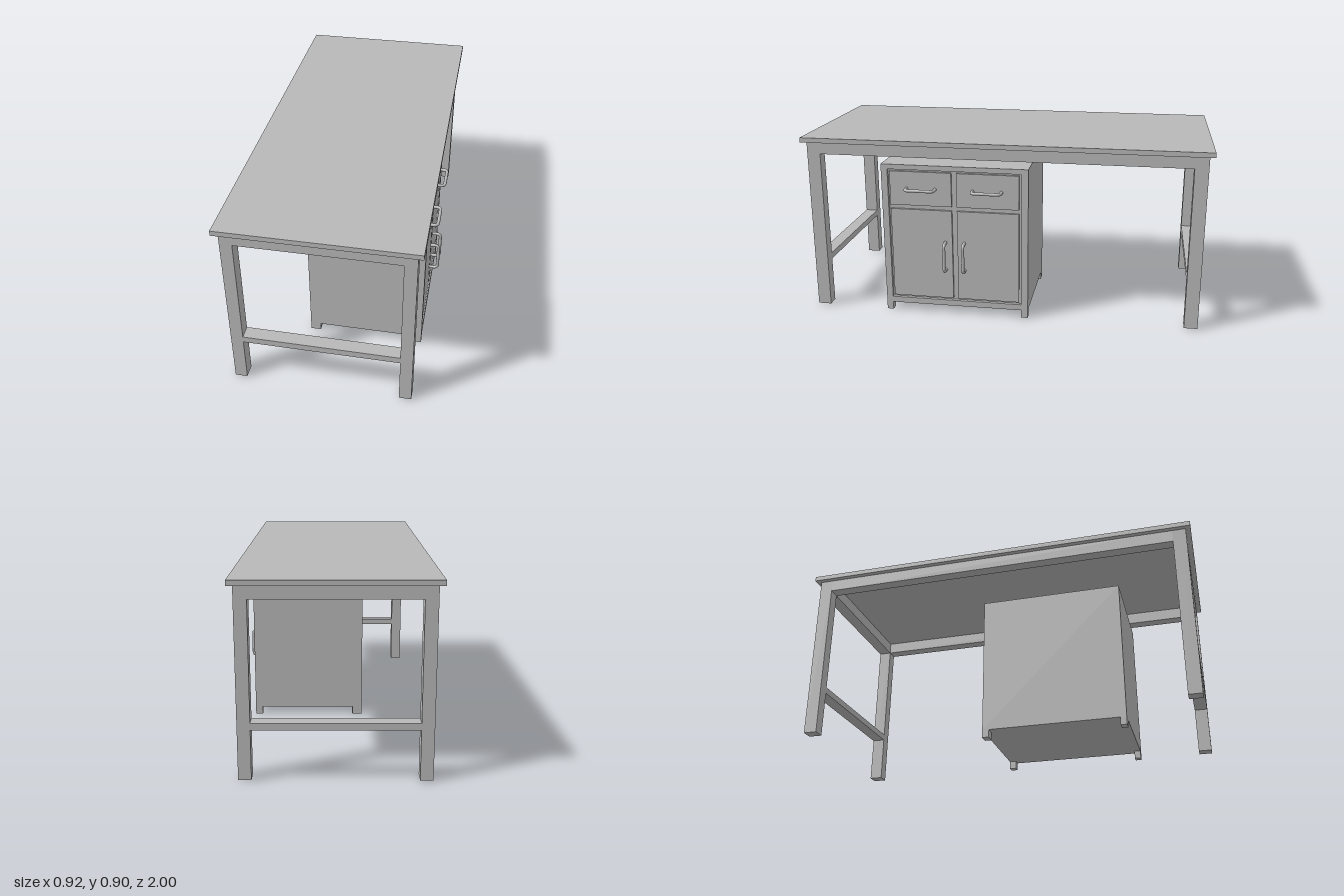
import * as THREE from 'three';

export function createModel() {
  const model = new THREE.Group();
  model.name = 'workDesk';
  const grey = new THREE.MeshStandardMaterial({ color: 0xb8b8b8 });
  grey.name = 'plain grey';

  // Box given by its limits along each axis
  const box = (parent, name, [x0, x1], [y0, y1], [z0, z1]) => {
    const mesh = new THREE.Mesh(new THREE.BoxGeometry(x1 - x0, y1 - y0, z1 - z0), grey);
    mesh.position.set((x0 + x1) / 2, (y0 + y1) / 2, (z0 + z1) / 2);
    mesh.name = name;
    parent.add(mesh);
  };
  const group = (name) => {
    const g = new THREE.Group();
    g.name = name;
    model.add(g);
    return g;
  };

  // Table top
  box(model, 'tableTop', [-0.462, 0.441], [0.873, 0.897], [-1, 1]);

  // Table frame: legs, aprons and end stretchers
  const frame = group('tableFrame');
  const legX = [[-0.437, -0.379], [0.358, 0.416]];
  const legZ = [[-0.976, -0.91], [0.91, 0.976]];
  for (const z of legZ) {
    for (const x of legX) box(frame, 'leg', x, [0.004, 0.873], z);
    box(frame, 'endApron', [-0.379, 0.358], [0.812, 0.873], z);
    box(frame, 'endStretcher', [-0.379, 0.358], [0.236, 0.268], z);
  }
  for (const x of legX) box(frame, 'longApron', x, [0.812, 0.873], [-0.91, 0.91]);

  // Cabinet body with a raised face frame and feet
  const cabinet = group('cabinet');
  const face = [0.4, 0.417];
  box(cabinet, 'cabinetBody', [-0.15, 0.4], [0.04, 0.775], [-0.135, 0.6]);
  box(cabinet, 'faceTopRail', face, [0.75, 0.775], [-0.135, 0.6]);
  box(cabinet, 'faceBottomRail', face, [0.04, 0.07], [-0.135, 0.6]);
  for (const z of [[-0.135, -0.1], [0.568, 0.6]]) {
    box(cabinet, 'faceStile', face, [0.07, 0.75], z);
    box(cabinet, 'backFoot', [-0.15, -0.1], [0, 0.04], z);
    box(cabinet, 'frontFoot', [0.38, 0.417], [0, 0.04], z);
  }

  // Bar handle: a bent round rod lying in the x-y plane, centred on its length
  const handleGeometry = (length) => {
    const h = length / 2 - 0.008, out = 0.045, r = 0.02;
    const v = (x, y) => new THREE.Vector3(x, y, 0);
    const path = new THREE.CurvePath();
    path.add(new THREE.LineCurve3(v(-0.01, -h), v(out - r, -h)));
    path.add(new THREE.QuadraticBezierCurve3(v(out - r, -h), v(out, -h), v(out, -h + r)));
    path.add(new THREE.LineCurve3(v(out, -h + r), v(out, h - r)));
    path.add(new THREE.QuadraticBezierCurve3(v(out, h - r), v(out, h), v(out - r, h)));
    path.add(new THREE.LineCurve3(v(out - r, h), v(-0.01, h)));
    return new THREE.TubeGeometry(path, 48, 0.008, 12);
  };
  const rod = handleGeometry(0.16);
  const handle = (name, y, z, level) => {
    const mesh = new THREE.Mesh(rod, grey);
    mesh.position.set(0.409, y, z);
    if (level) mesh.rotation.x = Math.PI / 2;
    mesh.name = name;
    cabinet.add(mesh);
  };

  // Two drawers above two doors, mirrored about the cabinet's middle
  const middle = 0.235;
  for (const side of [-1, 1]) {
    const z = [middle + side * 0.013, middle + side * 0.324].sort((a, b) => a - b);
    box(cabinet, 'drawerFront', [0.4, 0.412], [0.567, 0.74], z);
    box(cabinet, 'door', [0.4, 0.412], [0.08, 0.546], z);
    handle('drawerHandle', 0.654, middle + side * 0.166, true);
    handle('doorHandle', 0.308, middle + side * 0.048, false);
  }
  return model;
}
